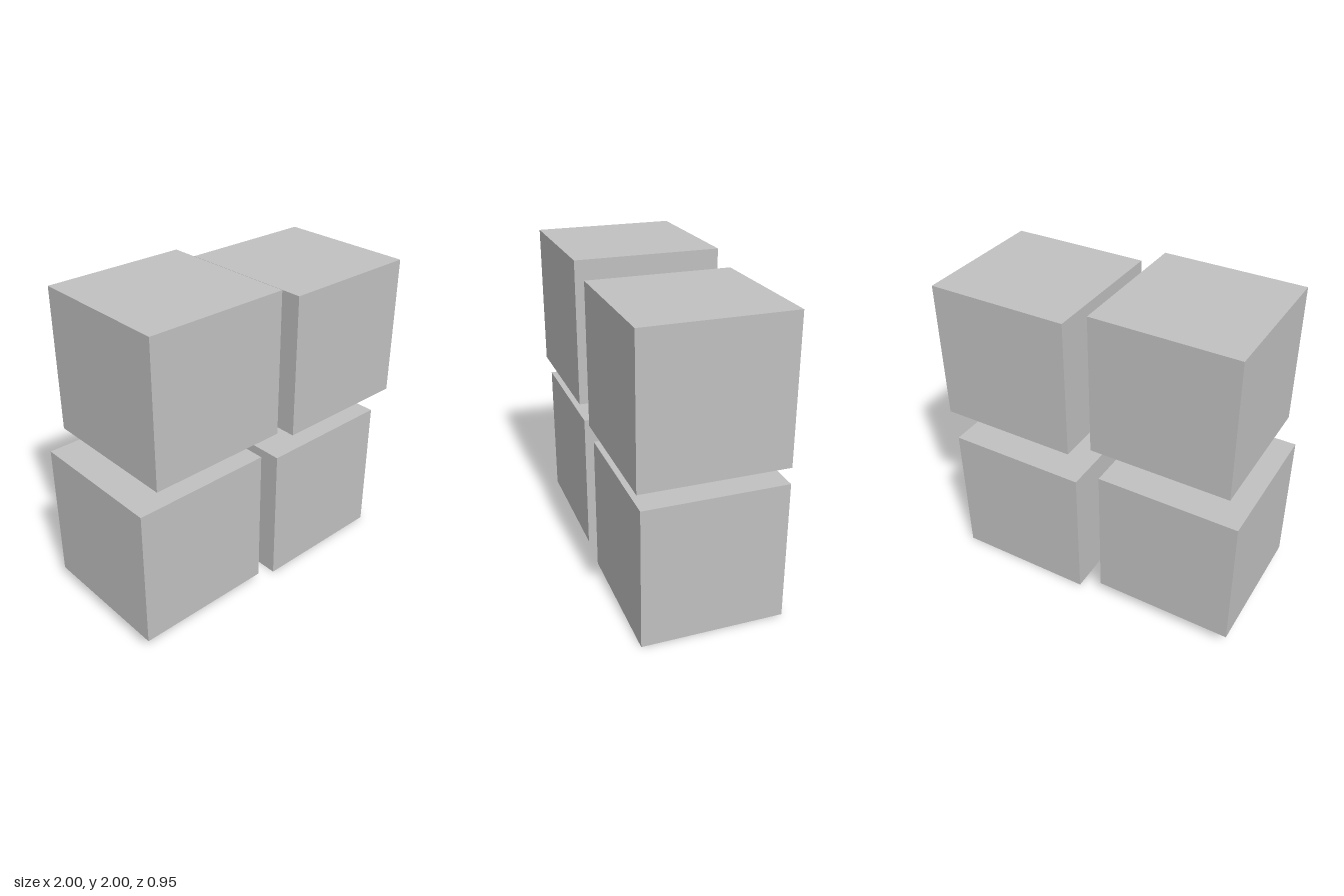
import * as THREE from 'three';

export function createModel() {
  const group = new THREE.Group();
  const grey = new THREE.MeshStandardMaterial({ color: 0xc0c0c0 });
  grey.name = 'light grey';

  // Four equal cubes on a slightly skewed two by two grid
  const size = 0.885;
  const across = new THREE.Vector3(1.035, -0.08, -0.0155);
  const up = new THREE.Vector3(0.08, 1.035, 0.0465);
  const cube = new THREE.BoxGeometry(size, size, size);

  for (const [row, v] of [['lower', -0.5], ['upper', 0.5]]) {
    for (const [side, u] of [['Right', -0.5], ['Left', 0.5]]) {
      const mesh = new THREE.Mesh(cube, grey);
      mesh.name = `${row}${side}Cube`;
      mesh.position.set(0, 1, 0).addScaledVector(across, u).addScaledVector(up, v);
      group.add(mesh);
    }
  }
  return group;
}
